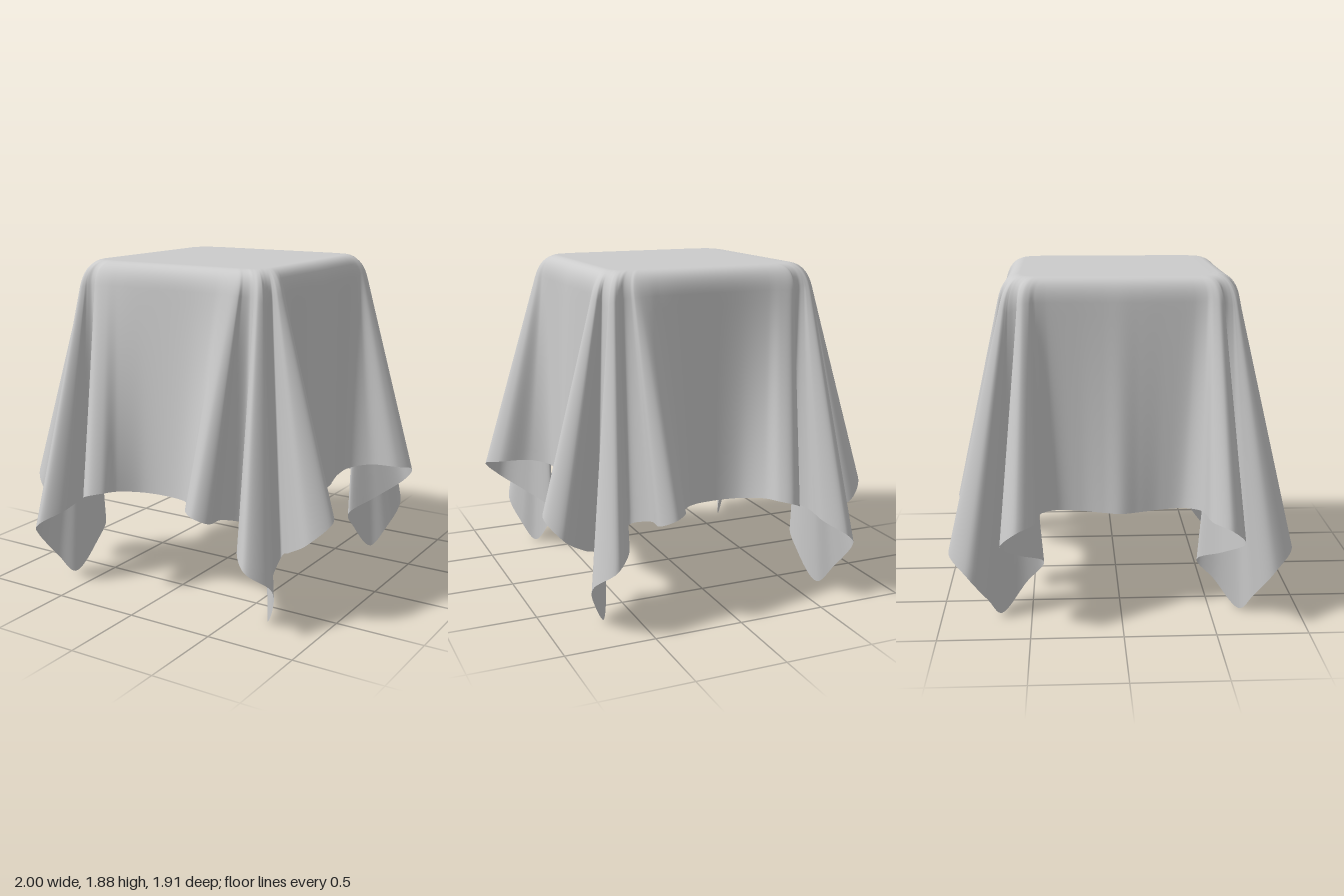
import * as THREE from 'three';

// One quarter of the cloth, from the middle of the front to the middle of the side:
// hem x, y, z, then the x, z where that strand leaves the square top edge
const QUARTER = [
  [0, .59, .66, 0, .63], [.14, .595, .69, .17, .63], [.24, .61, .79, .33, .63],
  // front fold
  [.28, .615, .88, .40, .63], [.35, .60, .92, .45, .63], [.42, .565, .87, .475, .63],
  [.42, .55, .74, .49, .625], [.50, .51, .63, .52, .62], [.57, .48, .72, .54, .62],
  // fold beside the corner, then the hanging corner itself
  [.585, .45, .85, .553, .615], [.69, .38, .955, .567, .61], [.79, .27, .85, .58, .602],
  [.74, .11, .74, .587, .597], [.67, 0, .67, .593, .592], [.61, .16, .53, .60, .575],
  [.62, .28, .43, .608, .56], [.74, .37, .56, .612, .548],
  // side fold
  [.90, .48, .66, .616, .535], [1, .59, .57, .62, .515], [.93, .615, .475, .62, .49],
  [.75, .615, .44, .62, .46], [.65, .60, .35, .62, .40],
  // gentle wave along the side
  [.64, .59, .22, .62, .25], [.665, .585, .10, .62, .10], [.69, .585, 0, .62, 0],
];
const TOP = 1.875;

// Closed loops of hem and edge points, mirrored into four quarters
function outlines() {
  const hem = [], edge = [];
  const quarters = [[1, 1, 1], [1, -1, .84], [-1, -1, .95], [-1, 1, 1]];
  quarters.forEach(([sx, sz, reach], q) => {
    const row = q % 2 ? [...QUARTER].reverse() : QUARTER;
    row.slice(0, -1).forEach(([x, y, z, bx, bz]) => {
      const hx = x > .8 ? .8 + (x - .8) * reach : x;
      hem.push(new THREE.Vector3(sx * hx, y, sz * z));
      edge.push(new THREE.Vector3(sx * bx, TOP - .003, sz * bz));
    });
  });
  return [hem, edge].map((p) => new THREE.CatmullRomCurve3(p, true, 'centripetal'));
}

// One strand of cloth: flat top, soft bend over the edge, straight fall to the hem
function strand(edge, hem) {
  const inner = new THREE.Vector3(edge.x * .86, TOP, edge.z * .86);
  const bendEnd = edge.clone().lerp(hem, .1);
  const bend = new THREE.QuadraticBezierCurve3(inner, edge, bendEnd);
  const points = [];
  for (let i = 0; i < 4; i++) points.push(new THREE.Vector3(inner.x * i / 4, TOP, inner.z * i / 4));
  for (let i = 0; i <= 10; i++) points.push(bend.getPoint(i / 10));
  for (let i = 1; i <= 18; i++) points.push(bendEnd.clone().lerp(hem, i / 18));
  return points;
}

function clothGeometry() {
  const [hem, edge] = outlines();
  const columns = hem.points.length * 8;
  const positions = [], index = [];
  let rows = 0;
  for (let j = 0; j < columns; j++) {
    const points = strand(edge.getPoint(j / columns), hem.getPoint(j / columns));
    rows = points.length;
    points.forEach((p) => positions.push(p.x, p.y, p.z));
  }
  for (let j = 0; j < columns; j++) {
    const k = (j + 1) % columns;
    for (let i = 0; i < rows - 1; i++) {
      const a = j * rows + i, b = k * rows + i;
      index.push(a + 1, b + 1, b);
      if (i > 0) index.push(a, a + 1, b);
    }
  }
  const geometry = new THREE.BufferGeometry();
  geometry.setAttribute('position', new THREE.Float32BufferAttribute(positions, 3));
  geometry.setIndex(index);
  geometry.computeVertexNormals();
  return geometry;
}

export function createModel() {
  const group = new THREE.Group();
  group.name = 'drapedCloth';
  const material = new THREE.MeshStandardMaterial({ color: 0xcccccc, side: THREE.DoubleSide });
  const cloth = new THREE.Mesh(clothGeometry(), material);
  cloth.name = 'tablecloth';
  group.add(cloth);
  return group;
}
